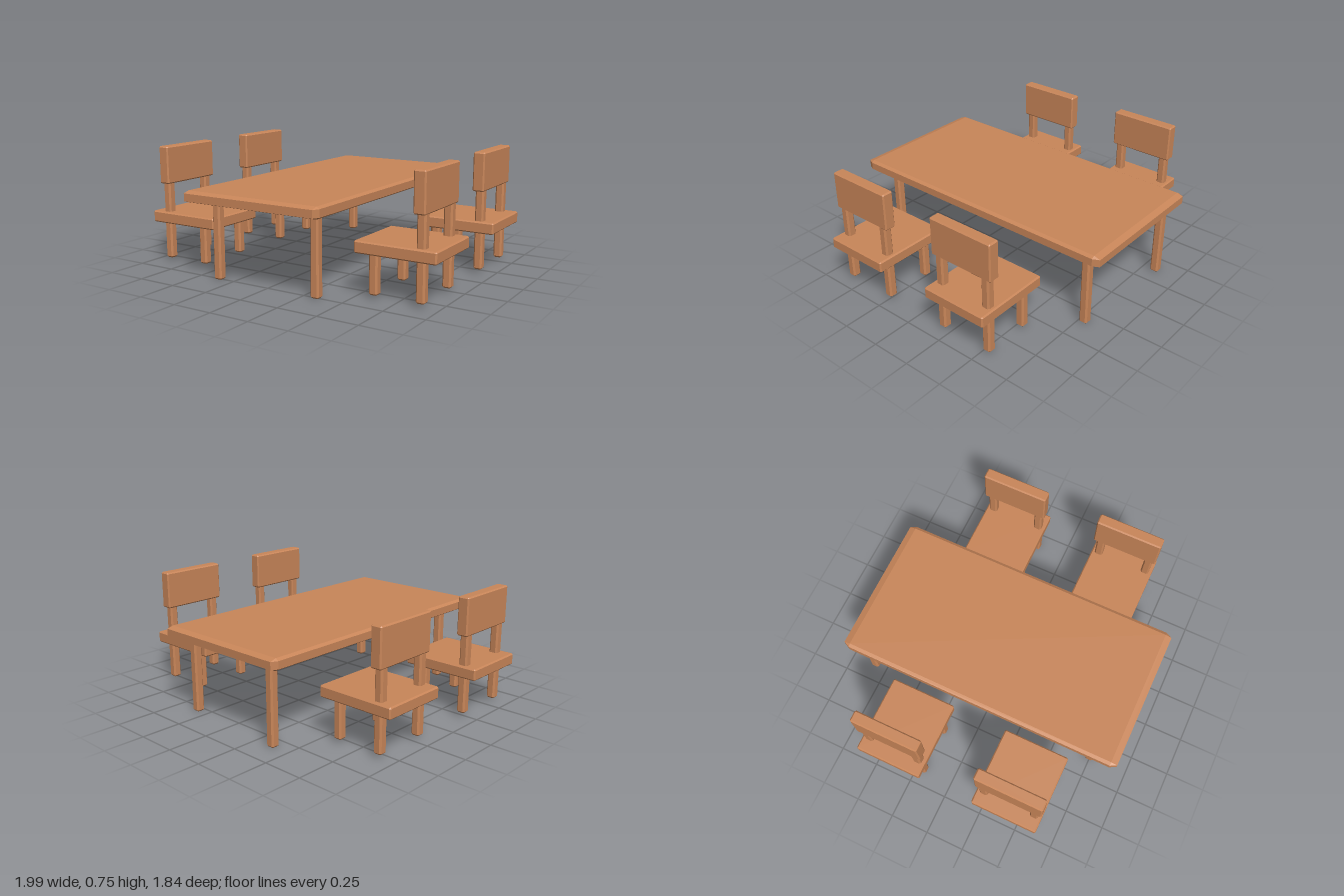
import * as THREE from 'three';
import { ConvexGeometry } from 'three/addons/geometries/ConvexGeometry.js';

const wood = new THREE.MeshStandardMaterial({ color: 0xc98659 });
wood.name = 'wood';

// Box with flat chamfered edges, given by its limits on each axis
function chamferBox(name, [x0, x1], [y0, y1], [z0, z1], bevel = [0.008, 0.008, 0.008]) {
  const [bx, by, bz] = bevel;
  const hx = (x1 - x0) / 2, hy = (y1 - y0) / 2, hz = (z1 - z0) / 2;
  const points = [];
  for (const i of [-1, 1]) for (const j of [-1, 1]) for (const k of [-1, 1]) {
    points.push(
      new THREE.Vector3(i * hx, j * (hy - by), k * (hz - bz)),
      new THREE.Vector3(i * (hx - bx), j * hy, k * (hz - bz)),
      new THREE.Vector3(i * (hx - bx), j * (hy - by), k * hz)
    );
  }
  const mesh = new THREE.Mesh(new ConvexGeometry(points), wood);
  mesh.position.set((x0 + x1) / 2, (y0 + y1) / 2, (z0 + z1) / 2);
  mesh.name = name;
  return mesh;
}

// Square post with chamfered edges, centred on x, z
function post(name, x, z, y0, y1) {
  const r = 0.027, b = 0.01;
  return chamferBox(name, [x - r, x + r], [y0, y1], [z - r, z + r], [b, b, b]);
}

function createTable() {
  const table = new THREE.Group();
  table.name = 'table';
  table.add(chamferBox('tableTop', [-0.485, 0.44], [0.475, 0.545], [-0.92, 0.915], [0.02, 0.012, 0.04]));
  // Legs are set slightly unevenly
  const legs = [[0.333, 0.747], [-0.355, 0.747], [0.333, -0.785], [-0.378, -0.832]];
  for (const [x, z] of legs) table.add(post('tableLeg', x, z, 0, 0.485));
  return table;
}

// Chair whose backrest is on the given side, centred on z
function createChair(side, z) {
  const chair = new THREE.Group();
  chair.name = side > 0 ? 'leftChair' : 'rightChair';
  const span = (a, b) => (side > 0 ? [a, b] : [-b, -a]);
  const depth = [z - 0.215, z + 0.215];
  chair.add(chamferBox('seat', span(0.5, 0.997), [0.253, 0.325], depth));
  chair.add(chamferBox('backrest', span(0.856, 0.928), [0.508, 0.745], depth));
  for (const dz of [-0.167, 0.167]) {
    chair.add(post('frontLeg', side * 0.609, z + dz, 0.022, 0.265));
    chair.add(post('backLeg', side * 0.895, z + dz, 0.022, 0.52));
  }
  return chair;
}

export function createModel() {
  const model = new THREE.Group();
  model.name = 'diningSet';
  model.add(createTable());
  for (const side of [-1, 1]) for (const z of [0.418, -0.37]) model.add(createChair(side, z));
  return model;
}
